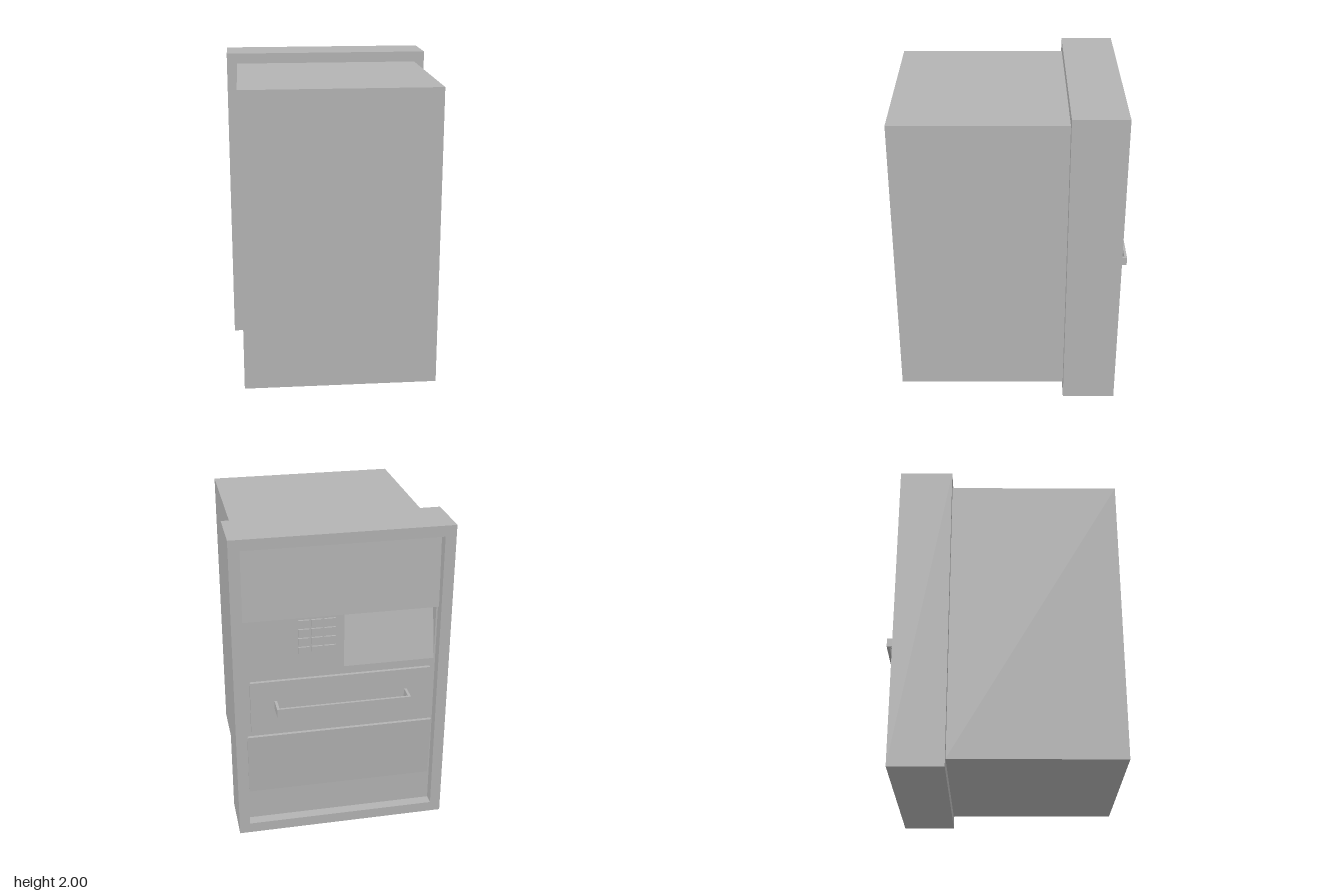
import * as THREE from 'three';

export function createModel() {
  const model = new THREE.Group();
  model.name = 'cashMachine';
  const grey = new THREE.MeshStandardMaterial({ color: 0xb3b3b3 });
  grey.name = 'grey';

  const add = (name, geometry, parent = model) => {
    const mesh = new THREE.Mesh(geometry, grey);
    mesh.name = name;
    parent.add(mesh);
    return mesh;
  };

  // Box given by its limits on each axis
  const box = (name, [x0, x1], [y0, y1], [z0, z1], parent) =>
    add(name, new THREE.BoxGeometry(x1 - x0, y1 - y0, z1 - z0)
      .translate((x0 + x1) / 2, (y0 + y1) / 2, (z0 + z1) / 2), parent);

  const corners = (x0, x1, y0, y1) =>
    [[x0, y0], [x1, y0], [x1, y1], [x0, y1]].map(p => new THREE.Vector2(...p));

  // Upright plate with a rectangular opening
  const plate = (name, outer, opening, z0, z1) => {
    const shape = new THREE.Shape(corners(...outer));
    shape.holes.push(new THREE.Path(corners(...opening)));
    return add(name, new THREE.ExtrudeGeometry(shape, { depth: z1 - z0, bevelEnabled: false })
      .translate(0, 0, z0));
  };

  // Prism running along x from a (z, y) cross-section
  const prism = (name, section, x0, x1) => {
    const shape = new THREE.Shape(section.map(p => new THREE.Vector2(...p)));
    return add(name, new THREE.ExtrudeGeometry(shape, { depth: x1 - x0, bevelEnabled: false })
      .rotateY(-Math.PI / 2).translate(x1, 0, 0));
  };

  // Cabinet and deep surround
  box('cabinet', [-0.6, 0.6], [0.067, 1.933], [-0.335, 0.73]);
  plate('surround', [-0.667, 0.667, 0, 2], [-0.6, 0.6, 0.067, 1.933], -0.667, -0.333);

  // Recessed fascia with an opening for the tilted screen
  const screen = [-0.59, -0.02, 1.11, 1.463];
  plate('fascia', [-0.6, 0.6, 0.067, 1.933], screen, -0.6, -0.5);
  prism('screen', [[-0.6, 1.11], [-0.5, 1.11], [-0.5, 1.463], [-0.533, 1.463]], -0.59, -0.02);

  // Slightly sloping upper and lower panels
  prism('upperPanel', [[-0.62, 1.467], [-0.595, 1.467], [-0.595, 1.933], [-0.6, 1.933]], -0.6, 0.6);
  prism('lowerPanel', [[-0.6, 0.267], [-0.595, 0.267], [-0.595, 0.68], [-0.622, 0.68]], -0.59, 0.59);

  // Keypad of three by four buttons
  const keypad = new THREE.Group();
  keypad.name = 'keypad';
  model.add(keypad);
  for (let row = 0; row < 4; row++) {
    for (let col = 0; col < 3; col++) {
      const x = 0.035 + col * 0.08, y = 1.222 + row * 0.059;
      box('button', [x, x + 0.068], [y, y + 0.047], [-0.612, -0.595], keypad);
    }
  }

  // Drawer front and its pull handle
  box('drawerFront', [-0.565, 0.565], [0.715, 1.06], [-0.622, -0.595]);
  const handle = new THREE.Group();
  handle.name = 'handle';
  model.add(handle);
  box('handleBar', [-0.417, 0.417], [0.87, 0.925], [-0.73, -0.714], handle);
  for (const side of [-1, 1]) {
    const x = side * 0.409;
    box('handleLeg', [x - 0.008, x + 0.008], [0.87, 0.925], [-0.714, -0.62], handle);
  }

  return model;
}
